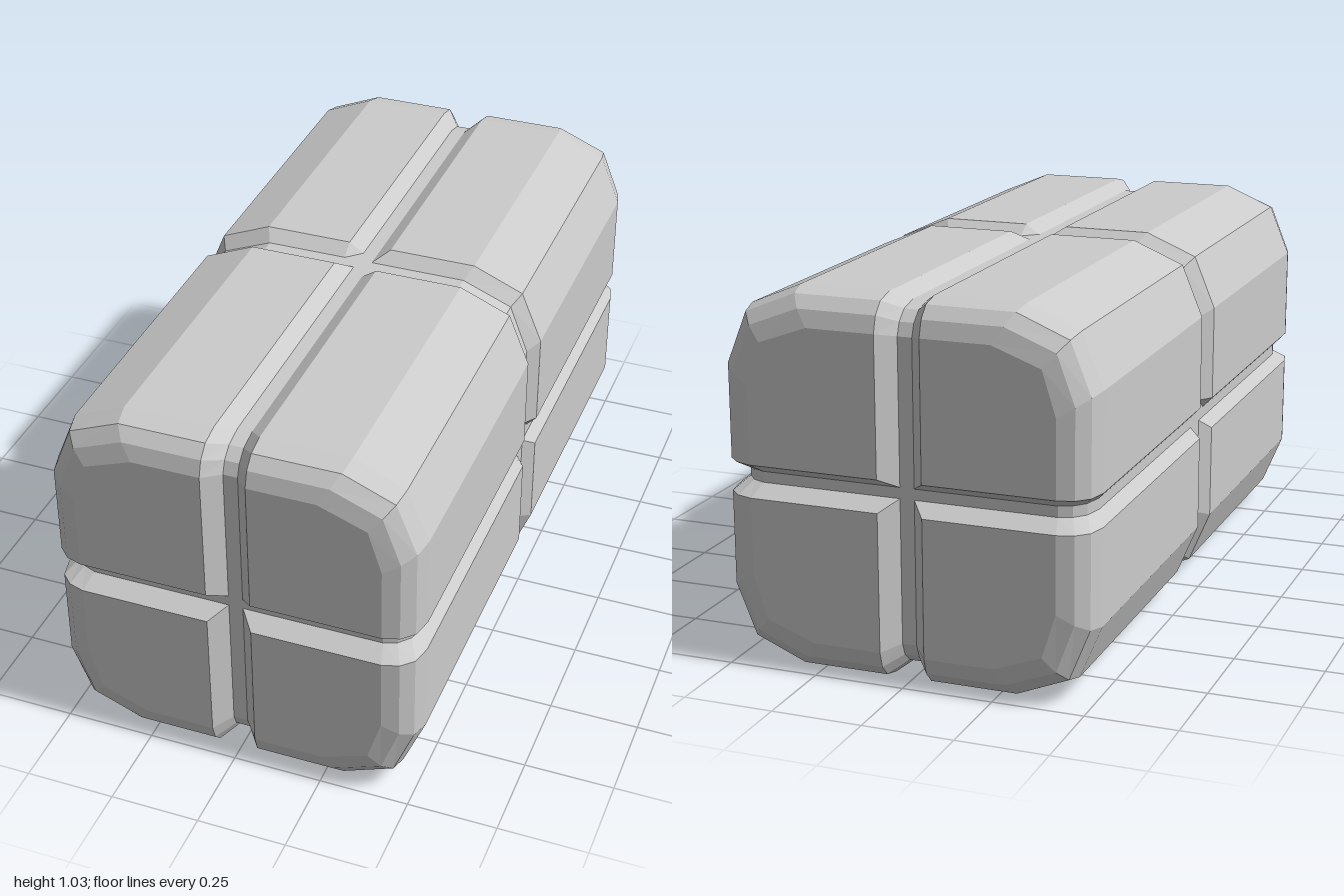
import * as THREE from 'three';

// Quarter outline from the side groove round to the top groove:
// x, y, inward direction x, y, whether it lies on a groove floor, inner corner x, y
const QUARTER = [
  [0.485, 0.015, -1, 0, true, 0.02, 0.015],
  [0.513, 0.045, -1, 0, false, 0.062, 0.045],
  [0.513, 0.31, -1, -0.6, false, 0.062, 0.045],
  [0.453, 0.455, -0.75, -0.88, false, 0.062, 0.045],
  [0.31, 0.515, -0.65, -1, false, 0.062, 0.045],
  [0.062, 0.515, 0, -1, false, 0.062, 0.045],
  [0.02, 0.487, 0, -1, true, 0.02, 0.015],
];

// Cross-sections from the middle to the end: z, inset, groove floor z, groove floor inset
const HALF = [
  { z: 0.02, d: 0.028, gz: 0.02, gd: 0 },
  { z: 0.06, d: 0, gz: 0.06, gd: 0 },
  { z: 0.9, d: 0, gz: 0.85, gd: 0 },
  { z: 0.955, d: 0.013, gz: 0.905, gd: 0.013 },
  { z: 0.986, d: 0.045, gz: 0.936, gd: 0.04 },
  { z: 1, d: 0.09, gz: 0.95, gd: 0.075 },
  { z: 1, gz: 0.95, collapse: true }, // end face runs in to the groove crossing
];

// Full ring of 28 points, counterclockwise from the front
function ring(section, side) {
  const quarter = QUARTER.map(([x, y, dx, dy, floor, cx, cy]) => {
    const z = side * (floor ? section.gz : section.z);
    if (section.collapse) return [cx, cy, z];
    const d = floor ? section.gd : section.d;
    return [x + dx * d, y + dy * d, z];
  });
  const points = [];
  for (const [sx, sy] of [[1, 1], [-1, 1], [-1, -1], [1, -1]]) {
    const q = quarter.map(([x, y, z]) => new THREE.Vector3(x * sx, y * sy + 0.515, z));
    points.push(...(sx * sy < 0 ? q.reverse() : q));
  }
  return points;
}

function blockGeometry() {
  const rings = [
    ...HALF.slice().reverse().map((s) => ring(s, -1)),
    ...HALF.map((s) => ring(s, 1)),
  ];
  const positions = [];
  const tri = (a, b, c) => {
    const area = b.clone().sub(a).cross(c.clone().sub(a)).length();
    if (area > 1e-7) for (const p of [a, b, c]) positions.push(p.x, p.y, p.z);
  };

  // skin between neighbouring sections
  for (let k = 0; k < rings.length - 1; k++) {
    const lower = rings[k], upper = rings[k + 1];
    lower.forEach((a, i) => {
      const j = (i + 1) % lower.length;
      tri(a, lower[j], upper[j]);
      tri(a, upper[j], upper[i]);
    });
  }

  // groove crossing in the middle of each end
  for (const side of [-1, 1]) {
    const last = side > 0 ? rings[rings.length - 1] : rings[0];
    const floor = last.filter((p) => Math.abs(p.x) < 0.03);
    const centre = new THREE.Vector3(0, 0.515, side * 0.95);
    floor.forEach((a, i) => {
      const b = floor[(i + 1) % floor.length];
      if (side > 0) tri(centre, a, b);
      else tri(centre, b, a);
    });
  }

  const geometry = new THREE.BufferGeometry();
  geometry.setAttribute('position', new THREE.Float32BufferAttribute(positions, 3));
  geometry.computeVertexNormals();
  return geometry;
}

export function createModel() {
  const group = new THREE.Group();
  group.name = 'groovedBlock';
  const material = new THREE.MeshStandardMaterial({ color: 0xcccccc, flatShading: true });
  const block = new THREE.Mesh(blockGeometry(), material);
  block.name = 'blockBody';
  group.add(block);
  return group;
}
